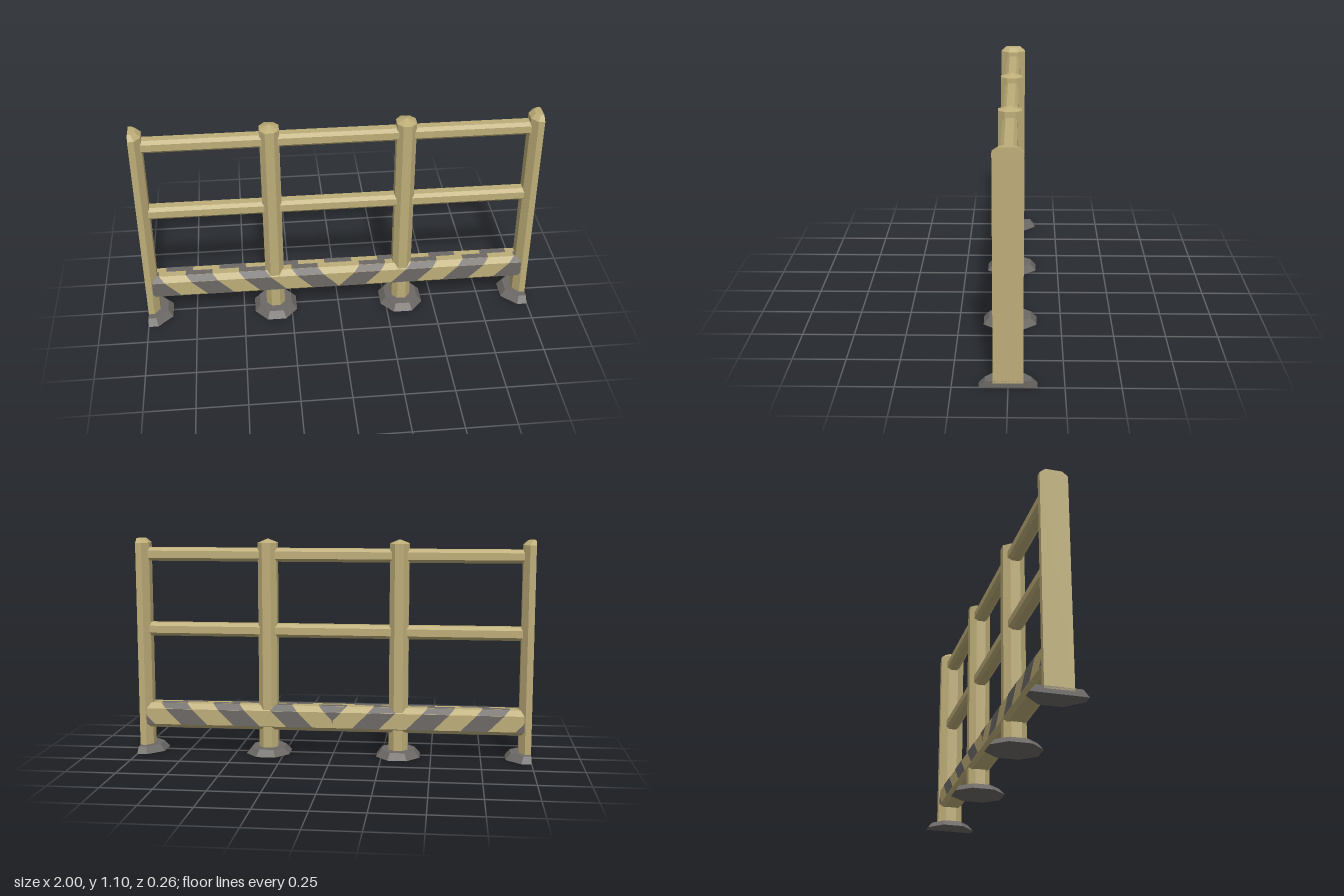
import * as THREE from 'three';

// Eight-sided outline (or its +x half), flats kept slightly off-regular
function outline({ hx, fx, hz, fz, half }) {
  const side = [[fx, -hz], [hx, -fz], [hx, fz], [fx, hz]];
  if (half) return [[0, -hz], ...side, [0, hz]];
  return [...side, ...side.map(([x, z]) => [-x, -z])];
}

// Flat-faced solid through rings of [y, outline]
function loft(rings) {
  const pos = [];
  const tri = (...pts) => pts.forEach((p) => pos.push(...p));
  const at = ([y, pts], i) => {
    const [x, z] = pts[i % pts.length];
    return [x, y, z];
  };
  const n = rings[0][1].length;
  for (let r = 0; r < rings.length - 1; r++) {
    for (let i = 0; i < n; i++) {
      const a = at(rings[r], i), b = at(rings[r], i + 1);
      const c = at(rings[r + 1], i + 1), d = at(rings[r + 1], i);
      tri(a, c, b);
      tri(a, d, c);
    }
  }
  const last = rings[rings.length - 1];
  for (let i = 1; i < n - 1; i++) {
    tri(at(rings[0], 0), at(rings[0], i), at(rings[0], i + 1));
    tri(at(last, 0), at(last, i + 1), at(last, i));
  }
  const geo = new THREE.BufferGeometry();
  geo.setAttribute('position', new THREE.Float32BufferAttribute(pos, 3));
  geo.computeVertexNormals();
  return geo;
}

// Beam along x from a [z, y] profile
function beam(profile, halfLength) {
  const shape = new THREE.Shape(profile.map(([z, y]) => new THREE.Vector2(z, y)));
  const geo = new THREE.ExtrudeGeometry(shape, { depth: halfLength * 2, bevelEnabled: false });
  geo.translate(0, 0, -halfLength);
  return geo.rotateY(Math.PI / 2);
}

// Slanted dark bands over one side of the kick board, mirrored about x = 0
function bands(path, zSign, phase) {
  const LIFT = 0.002, WIDTH = 0.1367, END = 0.97;
  const pos = [];
  const clamp = (v) => Math.min(END, Math.max(0, v));
  for (let s = 0; s < path.length - 1; s++) {
    const [z0, y0] = path[s], [z1, y1] = path[s + 1];
    const len = Math.hypot(z1 - z0, y1 - y0);
    const nz = ((y1 - y0) / len) * LIFT, ny = (-(z1 - z0) / len) * LIFT;
    const rows = 4;
    for (let r = 0; r < rows; r++) {
      const row = [r / rows, (r + 1) / rows].map((t) => {
        const z = z0 + (z1 - z0) * t, y = y0 + (y1 - y0) * t;
        return { z: (z + nz) * zSign, y: y + ny, shift: y - path[0][1] };
      });
      for (let k = -1; k < 5; k++) {
        const start = phase + k * WIDTH * 2;
        for (const m of [1, -1]) {
          const pt = (q, x) => [m * clamp(x + q.shift), q.y, q.z];
          const a = pt(row[0], start), b = pt(row[0], start + WIDTH);
          const c = pt(row[1], start + WIDTH), d = pt(row[1], start);
          if (b[0] === a[0] && c[0] === d[0]) continue;
          const quad = m * zSign > 0 ? [a, b, c, a, c, d] : [a, c, b, a, d, c];
          quad.forEach((p) => pos.push(...p));
        }
      }
    }
  }
  const geo = new THREE.BufferGeometry();
  geo.setAttribute('position', new THREE.Float32BufferAttribute(pos, 3));
  geo.computeVertexNormals();
  return geo;
}

export function createModel() {
  const model = new THREE.Group();
  model.name = 'safetyBarrier';
  const yellow = new THREE.MeshStandardMaterial({ color: 0xbdad78 });
  yellow.name = 'dustyYellow';
  const grey = new THREE.MeshStandardMaterial({ color: 0x6b6865, side: THREE.DoubleSide });
  grey.name = 'darkGrey';

  const add = (parent, name, geo, mat) => {
    const mesh = new THREE.Mesh(geo, mat);
    mesh.name = name;
    parent.add(mesh);
    return mesh;
  };

  // Middle posts: shallow pointed caps on octagonal feet
  const midBody = outline({ hx: 0.048, fx: 0.022, hz: 0.056, fz: 0.025 });
  const midTip = outline({ hx: 0.002, fx: 0.001, hz: 0.002, fz: 0.001 });
  const midPost = loft([[0.02, midBody], [1.08, midBody], [1.1, midTip]]);
  const midFoot = loft([
    [0, outline({ hx: 0.11, fx: 0.048, hz: 0.13, fz: 0.055 })],
    [0.033, outline({ hx: 0.083, fx: 0.037, hz: 0.102, fz: 0.043 })],
  ]);

  // End posts: cut flat on the outer side, with bevelled caps
  const endBody = outline({ hx: 0.06, fx: 0.031, hz: 0.067, fz: 0.028, half: true });
  const endTop = outline({ hx: 0.036, fx: 0.018, hz: 0.04, fz: 0.017, half: true });
  const endPost = loft([[0.02, endBody], [1.077, endBody], [1.1, endTop]]);
  const endFoot = loft([
    [0, outline({ hx: 0.125, fx: 0.05, hz: 0.13, fz: 0.055, half: true })],
    [0.033, outline({ hx: 0.1, fx: 0.04, hz: 0.102, fz: 0.043, half: true })],
  ]);

  for (const side of [-1, 1]) {
    const label = side > 0 ? 'left' : 'right';
    const mid = new THREE.Group();
    mid.name = label + 'MiddlePost';
    mid.position.x = side * 0.333;
    add(mid, 'post', midPost, yellow);
    add(mid, 'foot', midFoot, grey);

    const end = new THREE.Group();
    end.name = label + 'EndPost';
    end.position.x = side;
    end.rotation.y = side > 0 ? Math.PI : 0;
    add(end, 'post', endPost, yellow);
    add(end, 'foot', endFoot, grey);
    model.add(mid, end);
  }

  // Two chamfered rails
  const railProfile = [
    [0.02, -0.034], [0.036, -0.018], [0.036, 0.018], [0.02, 0.034],
    [-0.02, 0.034], [-0.036, 0.018], [-0.036, -0.018], [-0.02, -0.034],
  ];
  const rail = beam(railProfile, 0.95);
  add(model, 'topRail', rail, yellow).position.y = 1.019;
  add(model, 'middleRail', rail, yellow).position.y = 0.635;

  // Kick board with hazard bands wrapping over its top
  const boardProfile = [
    [0.04, 0.125], [0.06, 0.144], [0.06, 0.225], [0.036, 0.252],
    [-0.036, 0.252], [-0.06, 0.225], [-0.06, 0.144], [-0.04, 0.125],
  ];
  add(model, 'kickBoard', beam(boardProfile, 0.97), yellow);
  const face = [[0.06, 0.144], [0.06, 0.225], [0.036, 0.252], [0, 0.252]];
  add(model, 'frontBands', bands(face, 1, 0), grey);
  add(model, 'backBands', bands(face, -1, 0.1), grey);

  return model;
}
